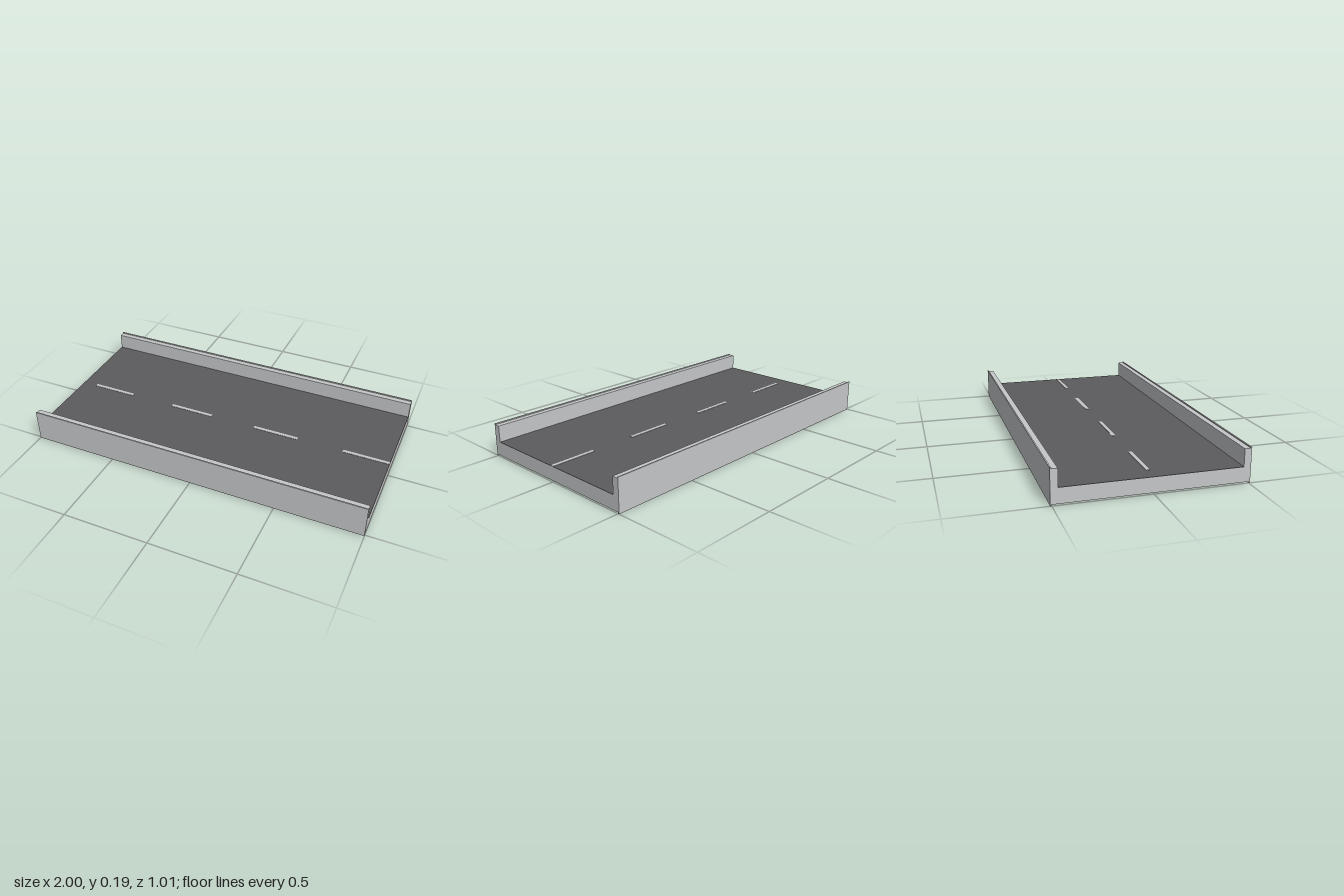
import * as THREE from 'three';

export function createModel() {
  const model = new THREE.Group();
  const concrete = new THREE.MeshStandardMaterial({ color: 0xc6c7c9 });
  concrete.name = 'concrete';
  const asphalt = new THREE.MeshStandardMaterial({ color: 0x5c5c5e });
  asphalt.name = 'asphalt';

  // Box given by its limits on each axis
  function block(name, material, [x0, x1], [y0, y1], [z0, z1]) {
    const geometry = new THREE.BoxGeometry(x1 - x0, y1 - y0, z1 - z0);
    const mesh = new THREE.Mesh(geometry, material);
    mesh.name = name;
    mesh.position.set((x0 + x1) / 2, (y0 + y1) / 2, (z0 + z1) / 2);
    model.add(mesh);
  }

  const length = [-1, 1];

  // Bridge deck and its thin road surface
  block('deckSlab', concrete, length, [0.007, 0.087], [-0.5, 0.5]);
  block('roadSurface', asphalt, length, [0.087, 0.089], [-0.469, 0.469]);

  // Parapet and slightly taller outer fascia on both edges
  for (const [side, s] of [['front', 1], ['back', -1]]) {
    const span = (a, b) => (s > 0 ? [a, b] : [-b, -a]);
    block(side + 'Parapet', concrete, length, [0.087, 0.183], span(0.469, 0.5));
    block(side + 'Fascia', concrete, length, [0, 0.189], span(0.5, 0.507));
  }

  // Dashed centre line; the last dash meets the end of the deck
  for (let i = 0; i < 4; i++) {
    const x = -0.91 + i * 0.546;
    block('laneDash' + (i + 1), concrete, [x, Math.min(x + 0.272, 1)], [0.089, 0.091], [-0.01, 0.01]);
  }

  return model;
}
